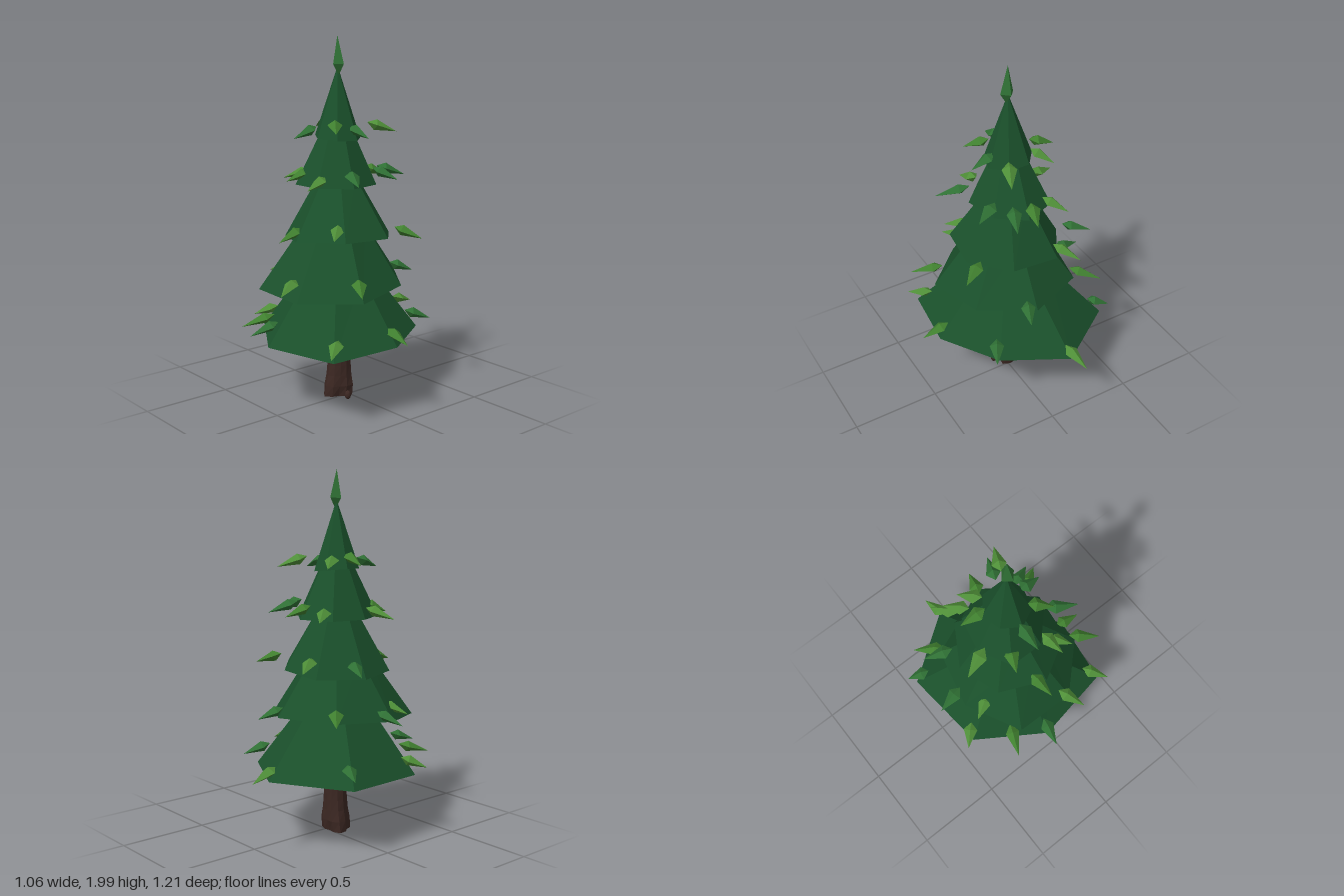
import * as THREE from 'three';

const mat = (color, extra = {}) => new THREE.MeshStandardMaterial({ color, flatShading: true, ...extra });
const AXIS = { x: -0.03, z: 0.05 };
const SIDES = 7;

// Uneven seven-sided ring around a centre
function makeRing(cx, cz, rx, rz, turn) {
  return Array.from({ length: SIDES }, (_, i) => {
    const a = turn + (i / SIDES) * Math.PI * 2;
    const w = 1 + 0.05 * Math.sin(i * 2.3 + turn * 5);
    return [cx + Math.cos(a) * rx * w, cz + Math.sin(a) * rz * w];
  });
}

// Skirt of branches: sloped faces up to a shrunken ring, and a hollowed underside
function makeTier({ ring, y, tiltX, tiltZ, top, shrink, hollow }) {
  const low = ring.map(([x, z]) => [x, y + tiltX * x + tiltZ * z, z]);
  const high = ring.map(([x, z]) => [
    AXIS.x + (x - AXIS.x) * shrink, top, AXIS.z + (z - AXIS.z) * shrink]);
  const apex = [AXIS.x, y + hollow, AXIS.z];
  const pos = [];
  for (let i = 0; i < SIDES; i++) {
    const j = (i + 1) % SIDES;
    pos.push(...low[i], ...high[i], ...low[j]);
    if (shrink > 0) pos.push(...high[i], ...high[j], ...low[j]);
    pos.push(...low[i], ...low[j], ...apex);
  }
  const geo = new THREE.BufferGeometry();
  geo.setAttribute('position', new THREE.Float32BufferAttribute(pos, 3));
  geo.computeVertexNormals();
  return geo;
}

const TIERS = [
  { ring: [[-0.12, -0.49], [0.23, -0.3], [0.43, 0.03], [0.38, 0.42], [-0.07, 0.5], [-0.44, 0.26], [-0.49, -0.23]],
    y: 0.385, tiltX: 0.02, tiltZ: -0.035, top: 0.73, shrink: 0.42, hollow: 0.11 },
  { ring: makeRing(-0.025, 0.08, 0.39, 0.4, 1.2),
    y: 0.67, tiltX: -0.03, tiltZ: -0.07, top: 1.0, shrink: 0.42, hollow: 0.1 },
  { ring: makeRing(-0.02, 0.05, 0.31, 0.3, 1.5),
    y: 0.925, tiltX: 0.06, tiltZ: 0.02, top: 1.25, shrink: 0.36, hollow: 0.08 },
  { ring: makeRing(-0.035, 0.04, 0.215, 0.23, 1.2),
    y: 1.21, tiltX: 0, tiltZ: 0, top: 1.53, shrink: 0.32, hollow: 0.06 },
  { ring: makeRing(-0.03, 0.05, 0.13, 0.13, 1.6),
    y: 1.46, tiltX: -0.1, tiltZ: 0, top: 1.84, shrink: 0, hollow: 0.05 },
];

// Sprigs per tier: tip height, then [base x, base z, tip x, tip z]
const SPRIGS = [
  [0.415, [[-0.11, -0.44, -0.14, -0.61], [0.21, -0.23, 0.28, -0.36], [0.37, 0.04, 0.53, 0.05],
    [0.32, 0.34, 0.42, 0.47], [-0.06, 0.44, -0.09, 0.6], [-0.23, 0.34, -0.3, 0.51],
    [-0.4, 0.19, -0.5, 0.29], [-0.41, -0.21, -0.53, -0.26]]],
  [0.68, [[-0.36, 0.05, -0.52, 0.08], [0.31, 0.2, 0.46, 0.3], [0.06, 0.41, 0.13, 0.56],
    [0.04, -0.27, 0.09, -0.4], [-0.29, -0.18, -0.43, -0.3], [-0.26, 0.18, -0.39, 0.25]]],
  [0.935, [[0.24, -0.12, 0.37, -0.2], [-0.15, -0.22, -0.24, -0.36], [-0.3, -0.08, -0.45, -0.145],
    [-0.05, 0.29, -0.03, 0.45], [0.14, 0.18, 0.24, 0.3]]],
  [1.215, [[-0.21, 0.1, -0.37, 0.16], [0.16, 0.13, 0.33, 0.21], [-0.11, 0.18, -0.16, 0.3],
    [0.07, 0.22, 0.1, 0.36], [0.06, -0.15, 0.12, -0.3], [-0.05, -0.15, -0.01, -0.29],
    [-0.14, -0.12, -0.23, -0.24], [0.12, -0.07, 0.25, -0.13]]],
  [1.47, [[0.06, 0.04, 0.2, 0.03], [-0.14, 0.02, -0.28, 0], [-0.11, -0.04, -0.19, -0.15],
    [-0.05, 0.18, -0.05, 0.33], [0.04, 0.13, 0.15, 0.21], [0.05, -0.09, 0.12, -0.24]]],
];

// Pointed dart, unit length along +z, widest near its base
const dart = new THREE.LatheGeometry(
  [[0, 0], [0.2, 0.28], [0, 1]].map(([r, y]) => new THREE.Vector2(r, y)), 4);
dart.rotateX(Math.PI / 2);

function makeSprig(base, tip, width, thickness, material, name) {
  const mesh = new THREE.Mesh(dart, material);
  mesh.name = name;
  mesh.position.copy(base);
  mesh.lookAt(tip);
  mesh.scale.set(width, thickness, base.distanceTo(tip));
  return mesh;
}

// Trunk with three root lobes flaring at the foot
function makeTrunk() {
  const geo = new THREE.CylinderGeometry(1, 1, 0.54, 12, 9);
  geo.translate(0, 0.28, 0);
  const p = geo.attributes.position;
  for (let i = 0; i < p.count; i++) {
    const x = p.getX(i), y = p.getY(i), z = p.getZ(i);
    const a = Math.atan2(z, x);
    const flare = Math.exp(-y / 0.09);
    const lobe = 0.5 + 0.5 * Math.cos(3 * (a - Math.PI / 2));
    const foot = y < 0.03 ? 0.8 : 1;
    const r = (0.062 + flare * (0.008 + 0.05 * lobe)) * foot;
    p.setXYZ(i, -0.035 - 0.01 * flare + x * r, y, 0.038 + 0.012 * flare + z * r);
  }
  geo.computeVertexNormals();
  return geo;
}

export function createModel() {
  const model = new THREE.Group();
  model.name = 'firTree';
  const bark = mat(0x3b2722);
  const needles = mat(0x1a502b, { side: THREE.DoubleSide });
  const greens = [mat(0x4f8f38), mat(0x2f7034), mat(0x40802f)];

  const trunk = new THREE.Mesh(makeTrunk(), bark);
  trunk.name = 'trunk';
  model.add(trunk);

  // Small knob of root beside the trunk
  const knob = new THREE.Mesh(new THREE.IcosahedronGeometry(1, 1), bark);
  knob.name = 'rootKnob';
  knob.scale.set(0.018, 0.026, 0.018);
  knob.position.set(0.065, 0.032, 0.06);
  model.add(knob);

  TIERS.forEach((tier, i) => {
    const mesh = new THREE.Mesh(makeTier(tier), needles);
    mesh.name = `branchTier${i + 1}`;
    model.add(mesh);
  });

  // Drooping sprigs around the rim of every tier
  SPRIGS.forEach(([y, list], t) => {
    const group = new THREE.Group();
    group.name = `sprigs${t + 1}`;
    list.forEach(([bx, bz, tx, tz], i) => {
      const lift = 0.015 * ((i * 2) % 3);
      const base = new THREE.Vector3(bx, y + 0.055 + lift, bz);
      const tip = new THREE.Vector3(tx, y + lift, tz);
      group.add(makeSprig(base, tip, 0.2, 0.15, greens[(i + t) % 3], 'sprig'));
    });
    model.add(group);
  });

  // Upright sprig at the peak
  model.add(makeSprig(new THREE.Vector3(-0.02, 1.79, 0.05), new THREE.Vector3(-0.03, 2, 0.051),
    0.2, 0.2, greens[1], 'topSprig'));
  return model;
}
